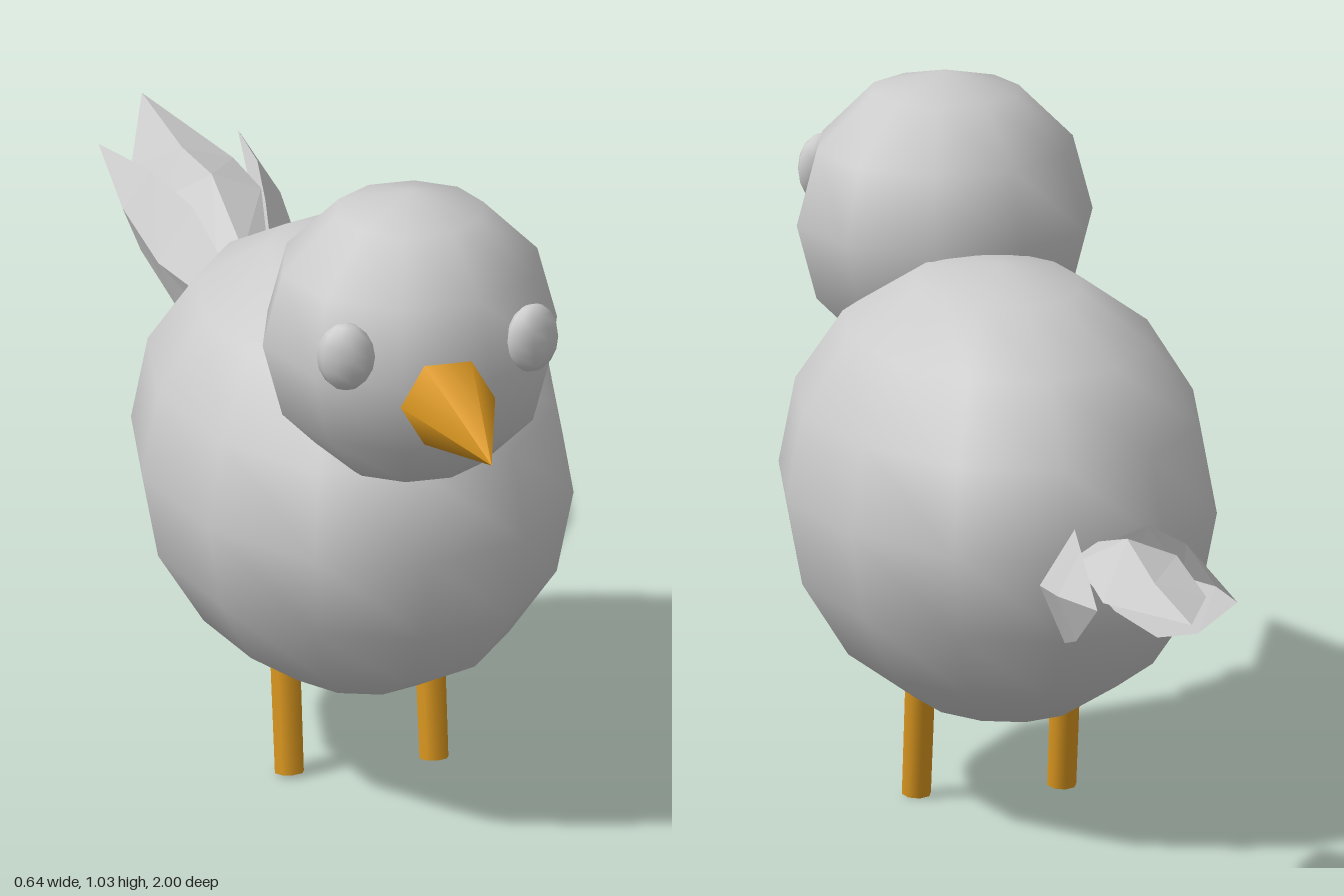
import * as THREE from 'three';

const grey = new THREE.MeshStandardMaterial({ color: 0xcccccc });
const feather = new THREE.MeshStandardMaterial({ color: 0xcccccc, flatShading: true, side: THREE.DoubleSide });
const orange = new THREE.MeshStandardMaterial({ color: 0xd9961f });

function add(group, name, geometry, material, x = 0, y = 0, z = 0) {
  const mesh = new THREE.Mesh(geometry, material);
  mesh.name = name;
  mesh.position.set(x, y, z);
  group.add(mesh);
  return mesh;
}

// Folded leaf: rows of [edge, rib, edge] points running from base to tip
function leaf(rows, mirror = 1) {
  const pos = [];
  const push = (...pts) => pts.forEach(([x, y, z]) => pos.push(x * mirror, y, z));
  for (let i = 0; i < rows.length - 1; i++) {
    for (let j = 0; j < 2; j++) {
      const a = rows[i][j], b = rows[i][j + 1], c = rows[i + 1][j + 1], d = rows[i + 1][j];
      if (a !== b) push(a, b, c);
      if (c !== d) push(a, c, d);
    }
  }
  const g = new THREE.BufferGeometry();
  g.setAttribute('position', new THREE.Float32BufferAttribute(pos, 3));
  g.computeVertexNormals();
  return g;
}

export function createModel() {
  const bird = new THREE.Group();
  bird.name = 'bird';

  // Body and head
  add(bird, 'body', new THREE.SphereGeometry(1, 12, 8), grey, 0, 0.475, 0.203).scale.set(0.32, 0.34, 0.448);
  add(bird, 'head', new THREE.SphereGeometry(0.224, 10, 6), grey, 0, 0.802, 0.532);

  // Beak
  const beak = new THREE.ConeGeometry(0.072, 0.25, 6, 1, false, Math.PI / 2);
  beak.rotateX(Math.PI / 2);
  add(bird, 'beak', beak, orange, 0, 0.775, 0.875);

  // Eyes and legs
  for (const s of [1, -1]) {
    const side = s > 0 ? 'left' : 'right';
    const eye = add(bird, side + 'Eye', new THREE.SphereGeometry(1, 10, 8), grey, s * 0.142, 0.844, 0.7);
    eye.scale.set(0.043, 0.053, 0.027);
    eye.rotation.y = s * 0.3;

    const leg = add(bird, side + 'Leg', new THREE.CylinderGeometry(0.023, 0.022, 0.23, 8), orange, s * 0.11, 0.117, 0.241);
    leg.rotation.x = -0.137;
  }

  // Tail: one centre feather and two upright side feathers
  const tail = new THREE.Group();
  tail.name = 'tail';
  bird.add(tail);
  const base = [0, 0.475, -0.27], tip = [0, 0.57, -1], sideTip = [0.106, 0.56, -0.85];

  const centre = [[-0.42, 0.04, 0.55, 0.525], [-0.6, 0.075, 0.6, 0.57], [-0.77, 0.078, 0.575, 0.55]]
    .map(([z, w, rib, edge]) => [[-w, edge, z], [0, rib, z], [w, edge, z]]);
  add(tail, 'centreFeather', leaf([[base, base, base], ...centre, [tip, tip, tip]]), feather);

  const outer = [
    [base, base, base],
    [[0.035, 0.432, -0.38], [0.065, 0.495, -0.38], [0.035, 0.54, -0.38]],
    [[0.07, 0.42, -0.5], [0.108, 0.51, -0.5], [0.055, 0.592, -0.5]],
    [[0.092, 0.465, -0.66], [0.12, 0.535, -0.66], [0.08, 0.597, -0.64]],
    [sideTip, sideTip, sideTip],
  ];
  add(tail, 'leftFeather', leaf(outer), feather);
  add(tail, 'rightFeather', leaf(outer, -1), feather);

  return bird;
}
